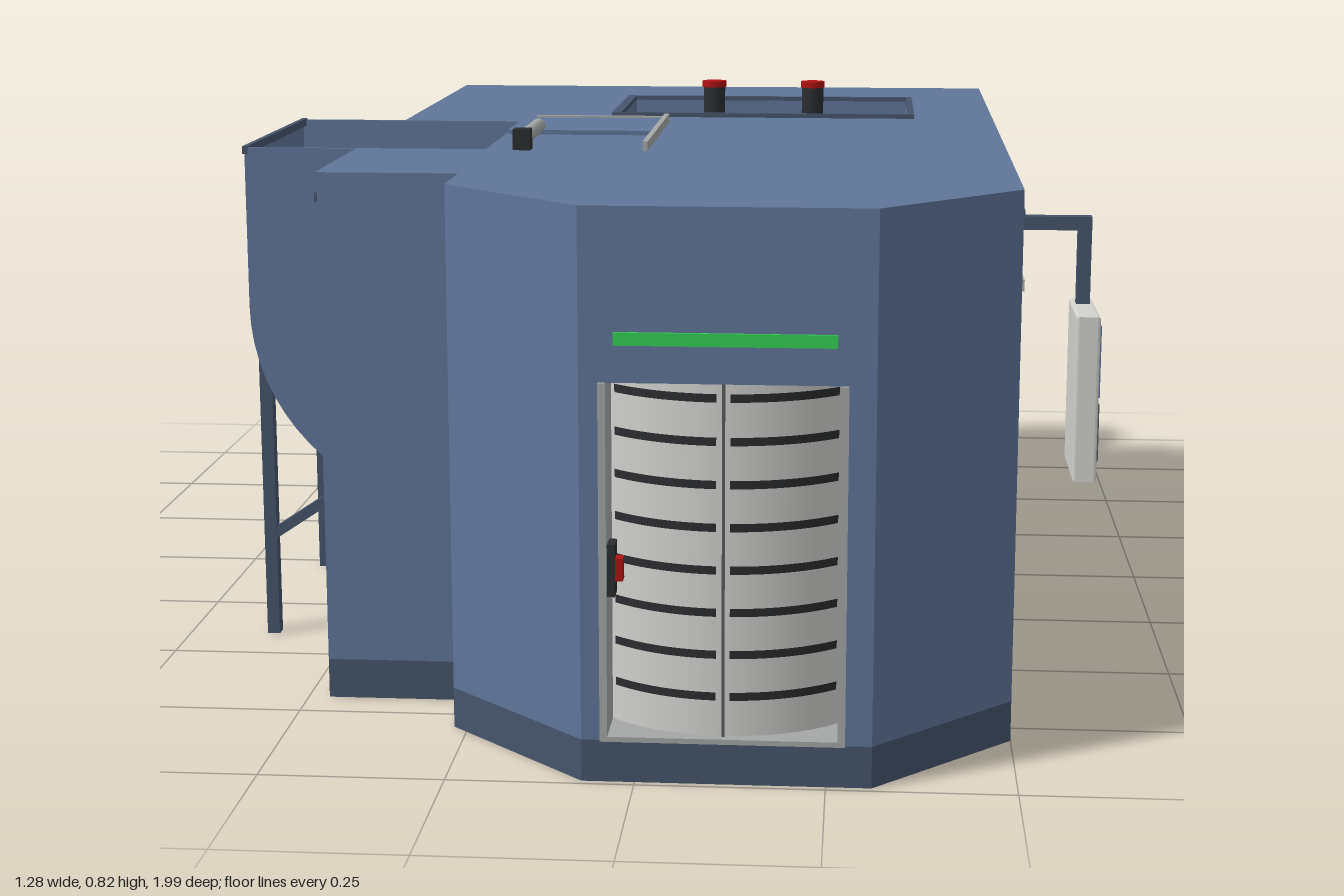
import * as THREE from 'three';

const mat = (name, color, side = THREE.FrontSide) => {
  const m = new THREE.MeshStandardMaterial({ color, side });
  m.name = name;
  return m;
};

export function createModel() {
  const root = new THREE.Group();
  root.name = 'machiningCentre';
  const blue = mat('steelBlue', 0x60769a, THREE.DoubleSide);
  const navy = mat('darkBlue', 0x46546c);
  const white = mat('offWhite', 0xd2d3cf);
  const silver = mat('silver', 0xa6a8a8);
  const door = mat('cabinetGrey', 0x90938f);
  const dark = mat('darkGrey', 0x595c5d);
  const black = mat('black', 0x2b2d30);
  const red = mat('red', 0xb01212);
  const green = mat('green', 0x35cf55);
  const yellow = mat('yellow', 0xd8a010);

  const add = (name, geo, m, x = 0, y = 0, z = 0, parent = root) => {
    const mesh = new THREE.Mesh(geo, m);
    mesh.name = name;
    mesh.position.set(x, y, z);
    parent.add(mesh);
    return mesh;
  };
  // Box given by its limits on each axis
  const box = (name, m, x0, x1, y0, y1, z0, z1) =>
    add(name, new THREE.BoxGeometry(x1 - x0, y1 - y0, z1 - z0), m, (x0 + x1) / 2, (y0 + y1) / 2, (z0 + z1) / 2);
  // Round or square bar between two points
  const bar = (name, m, a, b, r, sides = 16) => {
    const p = new THREE.Vector3(...a), q = new THREE.Vector3(...b), d = q.clone().sub(p);
    const geo = new THREE.CylinderGeometry(r, r, d.length(), sides);
    if (sides === 4) geo.rotateY(Math.PI / 4);
    const mesh = add(name, sides === 4 ? geo.toNonIndexed() : geo, m);
    if (sides === 4) mesh.geometry.computeVertexNormals();
    mesh.position.copy(p).add(q).multiplyScalar(0.5);
    mesh.quaternion.setFromUnitVectors(new THREE.Vector3(0, 1, 0), d.normalize());
    return mesh;
  };
  const shapeOf = pts => new THREE.Shape(pts.map(p => new THREE.Vector2(...p)));
  const rect = (x0, x1, y0, y1) => shapeOf([[x0, y0], [x1, y0], [x1, y1], [x0, y1]]);
  const extrude = (shape, depth) => new THREE.ExtrudeGeometry(shape, { depth, bevelEnabled: false });
  // Horizontal slab from an (x, z) outline
  const slab = (name, m, pts, y0, y1, holes = []) => {
    const s = shapeOf(pts.map(([x, z]) => [x, -z]));
    s.holes.push(...holes);
    return add(name, extrude(s, y1 - y0).rotateX(-Math.PI / 2), m, 0, y0, 0);
  };

  // Enclosure: plinth, walls and roof
  const outline = [[-0.07, 0.99], [0.31, 0.99], [0.5, 0.8], [0.5, -0.62], [-0.47, -0.62], [-0.47, 0.69], [-0.27, 0.69], [-0.27, 0.8]];
  slab('plinth', navy, outline, 0, 0.057);
  const H = 0.735;
  outline.forEach(([ax, az], i) => {
    const [bx, bz] = outline[(i + 1) % outline.length];
    const len = Math.hypot(bx - ax, bz - az);
    let s = rect(0, len, 0.057, H);
    if (i === 0) s.holes.push(rect(0.025, 0.345, 0.06, 0.535));
    if (i === 4) s = shapeOf([[0, 0.057], [len, 0.057], [len, H], [1.03, H], [1.03, 0.255], [0.63, 0.255], [0.63, H], [0, H]]);
    const wall = add('wall', extrude(s, 0.02).translate(0, 0, -0.02), blue, ax, 0, az);
    wall.rotation.y = Math.atan2(az - bz, bx - ax);
    if (i === 2 || i === 3) add('roofSeam', new THREE.BoxGeometry(len, 0.014, 0.004), navy, len / 2, 0.727, 0, wall);
    if (i === 4) {
      add('roofSeam', new THREE.BoxGeometry(0.63, 0.014, 0.004), navy, 0.315, 0.727, 0, wall);
      add('roofSeam', new THREE.BoxGeometry(0.28, 0.014, 0.004), navy, 1.17, 0.727, 0, wall);
    }
  });
  const roof = [...outline.slice(0, 5), [-0.47, 0.01], [-0.27, 0.01], [-0.27, 0.41], [-0.47, 0.41], ...outline.slice(5)];
  slab('roof', blue, roof, H, 0.762, [rect(-0.12, 0.36, 0.08, 0.36)]);

  // Curved front door in its recess
  const cx = 0.115, R = 0.22;
  const curved = (name, m, r, y0, y1, x0, x1) => {
    const a = Math.asin((x0 - cx) / r), b = Math.asin((x1 - cx) / r);
    add(name, new THREE.CylinderGeometry(r, r, y1 - y0, 20, 1, true, a, b - a), m, cx, (y0 + y1) / 2, 0.76);
  };
  curved('frontDoor', white, R, 0.06, 0.535, -0.04, 0.27);
  for (let i = 0; i < 8; i++) {
    const y = 0.112 + i * 0.0568;
    curved('doorSlot', black, R + 0.002, y, y + 0.011, -0.03, 0.106);
    curved('doorSlot', black, R + 0.002, y, y + 0.011, 0.124, 0.262);
  }
  curved('doorSeam', dark, R + 0.003, 0.06, 0.535, 0.1135, 0.1175);
  for (const x of [-0.045, 0.265]) box('doorJamb', silver, x, x + 0.01, 0.06, 0.535, 0.9, 0.995);
  box('doorLintel', navy, -0.045, 0.275, 0.535, 0.545, 0.88, 0.98);
  box('doorSill', silver, -0.045, 0.275, 0.056, 0.063, 0.9, 0.994);
  box('statusLight', green, -0.025, 0.26, 0.584, 0.601, 0.988, 0.994);
  box('stopButtonBox', black, -0.035, -0.025, 0.25, 0.32, 0.955, 0.985);
  box('stopButton', red, -0.026, -0.015, 0.27, 0.3, 0.96, 0.98);

  // Roof hatch and the work area below it
  const hatch = [[-0.135, 0.07], [0.37, 0.07], [0.37, 0.37], [-0.135, 0.37]].map(([x, z]) => [x, -z]);
  slab('hatchFrame', navy, hatch, 0.762, 0.769, [rect(-0.12, 0.36, 0.08, 0.36)]);
  box('workAreaFloor', navy, -0.125, 0.365, 0.48, 0.5, -0.365, -0.075);
  for (const x of [-0.13, 0.36]) box('workAreaSide', blue, x, x + 0.01, 0.5, H, -0.37, -0.07);
  for (const z of [-0.37, -0.08]) box('workAreaEnd', blue, -0.12, 0.36, 0.5, H, z, z + 0.01);
  box('machineBed', white, -0.05, 0.285, 0.5, 0.6, -0.355, -0.085);
  box('crossSlide', silver, -0.03, 0.27, 0.6, 0.62, -0.3, -0.27);
  box('carriage', white, -0.02, 0.26, 0.6, 0.64, -0.255, -0.19);
  for (const z of [-0.33, -0.21, -0.14]) bar('guideRail', silver, [-0.12, 0.57, z], [0.36, 0.57, z], 0.008);
  box('endStop', red, 0.34, 0.358, 0.62, 0.67, -0.235, -0.19);
  for (const x of [0.035, 0.2]) {
    box('spindleBase', white, x - 0.035, x + 0.035, 0.6, 0.69, -0.135, -0.085);
    bar('spindle', black, [x, 0.69, -0.108], [x, 0.81, -0.108], 0.018);
    bar('spindleCap', red, [x, 0.81, -0.108], [x, 0.82, -0.108], 0.02);
  }

  // Loading hopper with rounded underside
  const curve = [];
  for (let i = 0; i <= 16; i++) {
    const a = Math.PI + (i / 16) * 1.45;
    curve.push([-0.3 + 0.34 * Math.cos(a), 0.52 + 0.32 * Math.sin(a)]);
  }
  const side = [[-0.64, 0.762], ...curve, [-0.27, 0.2], [-0.27, 0.762]];
  for (const z of [0.01, 0.405]) add('hopperSide', extrude(shapeOf(side), 0.006), blue, 0, 0, z);
  const rows = [];
  const index = [];
  curve.forEach(([x, y], i) => {
    rows.push(x, y, 0.01, x, y, 0.411);
    if (i) index.push(2 * i - 2, 2 * i - 1, 2 * i, 2 * i, 2 * i - 1, 2 * i + 1);
  });
  const trough = new THREE.BufferGeometry();
  trough.setAttribute('position', new THREE.Float32BufferAttribute(rows, 3));
  trough.setIndex(index);
  trough.computeVertexNormals();
  add('hopperFloor', trough, blue);
  box('hopperInnerWall', blue, -0.275, -0.27, 0.2, 0.762, 0.01, 0.41);
  const outer = add('hopperOuterWall', new THREE.PlaneGeometry(0.4, 0.242), navy, -0.64, 0.641, 0.21);
  outer.material = blue;
  outer.rotation.y = -Math.PI / 2;
  box('hopperRim', navy, -0.643, -0.635, 0.752, 0.764, 0.008, 0.412);
  for (const z of [0.025, 0.395]) {
    box('hopperLeg', navy, -0.63, -0.611, 0, 0.47, z - 0.01, z + 0.01);
    bar('hopperBrace', navy, [-0.615, 0.16, z], [-0.465, 0.26, z], 0.011, 4);
  }
  box('hopperLatchBar', yellow, -0.6, -0.28, 0.5, 0.515, 0.072, 0.086);
  box('hopperLatch', yellow, -0.605, -0.59, 0.49, 0.53, 0.06, 0.13);
  bar('latchKnob', red, [-0.305, 0.5, 0.04], [-0.305, 0.55, 0.04], 0.015);
  box('latchBracket', yellow, -0.311, -0.299, 0.5, 0.515, 0.03, 0.08);

  // Sliding lid hardware on the roof
  box('lidPlate', blue, -0.27, -0.04, 0.762, 0.769, 0.01, 0.205);
  box('lidRail', silver, -0.04, -0.032, 0.762, 0.776, 0.01, 0.41);
  box('lidBackRail', silver, -0.25, -0.04, 0.762, 0.772, 0.008, 0.016);
  bar('lidCylinder', silver, [-0.22, 0.778, 0.22], [-0.22, 0.778, 0.4], 0.011);
  box('lidCylinderMount', black, -0.233, -0.207, 0.762, 0.793, 0.39, 0.415);

  // Operator window and service strip on the model's left side
  box('slideRail', silver, 0.5, 0.509, 0.61, 0.626, 0.05, 0.71);
  box('windowDoor', blue, 0.5, 0.512, 0.205, 0.615, 0.06, 0.385);
  box('windowFrame', white, 0.512, 0.52, 0.25, 0.57, 0.085, 0.36);
  box('windowBorder', silver, 0.519, 0.522, 0.265, 0.555, 0.1, 0.345);
  box('windowPane', white, 0.52, 0.524, 0.272, 0.548, 0.107, 0.338);
  for (const z of [-0.04, 0.04]) box('panelSeam', navy, 0.499, 0.502, 0.057, 0.72, z - 0.002, z + 0.002);
  for (let g = 0; g < 5; g++) for (let i = 0; i < 3; i++) {
    const y = 0.262 + g * 0.052 + i * 0.014;
    box('ventSlot', black, 0.5, 0.504, y, y + 0.009, -0.02, 0.028);
  }
  box('servicePlate', dark, 0.5, 0.505, 0.095, 0.205, -0.035, 0.035);

  // Control pendant on its arm
  bar('pendantArm', navy, [0.49, 0.665, 0.435], [0.622, 0.665, 0.435], 0.014, 4);
  bar('pendantPost', navy, [0.612, 0.675, 0.435], [0.612, 0.54, 0.435], 0.014, 4);
  const casing = rect(-0.072, 0.072, 0.307, 0.543);
  add('pendantCase', new THREE.ExtrudeGeometry(casing, { depth: 0.026, bevelSize: 0.003, bevelThickness: 0.004, bevelSegments: 2 })
    .rotateY(Math.PI / 2), white, 0.599, 0, 0.475);
  box('pendantScreen', blue, 0.628, 0.632, 0.425, 0.53, 0.418, 0.535);
  box('pendantKeys', dark, 0.628, 0.632, 0.33, 0.415, 0.418, 0.535);
  bar('pendantStop', red, [0.63, 0.353, 0.435], [0.638, 0.353, 0.435], 0.008);

  // Electrical cabinet on the model's right side
  for (let i = 0; i < 4; i++) {
    const z = -0.612 + i * 0.142;
    box('cabinetDoor', door, -0.478, -0.469, 0.06, 0.62, z, z + 0.137);
    box('cabinetHandle', black, -0.484, -0.477, 0.26, 0.32, z + 0.022, z + 0.034);
    add('warningSign', extrude(shapeOf([[-0.02, 0], [0.02, 0], [0, 0.035]]), 0.003).rotateY(-Math.PI / 2), yellow, -0.478, 0.47, z + 0.07);
  }
  for (let i = 0; i < 4; i++) box('cabinetVent', black, -0.475, -0.469, 0.64, 0.71, -0.3 + i * 0.065, -0.25 + i * 0.065);

  // Coolant tank and pumps at the back
  box('tankPlinth', navy, -0.205, 0.25, 0, 0.055, -0.83, -0.615);
  box('coolantTank', blue, -0.205, 0.25, 0.055, 0.168, -0.83, -0.615);
  box('tankLid', dark, -0.203, 0.248, 0.168, 0.173, -0.828, -0.62);
  for (const x of [-0.13, -0.04]) {
    bar('pump', white, [x, 0.17, -0.73], [x, 0.25, -0.73], 0.022);
    bar('pumpCap', dark, [x, 0.25, -0.73], [x, 0.272, -0.73], 0.021);
  }

  // Chip conveyor: extruded along x from a (z, y) profile
  const conveyor = (name, pts, x0, x1) =>
    add(name, extrude(shapeOf(pts.map(([z, y]) => [-z, y])), x1 - x0).rotateY(Math.PI / 2), blue, x0, 0, 0);
  conveyor('conveyorChute', [[-0.61, 0.17], [-0.64, 0.17], [-0.78, 0.335], [-0.79, 0.44], [-0.61, 0.26]], 0.275, 0.42);
  conveyor('conveyorHead', [[-0.75, 0.335], [-0.887, 0.335], [-0.887, 0.522], [-0.78, 0.522], [-0.75, 0.47]], 0.257, 0.443);
  box('conveyorFoot', blue, 0.275, 0.42, 0.055, 0.17, -0.66, -0.61);
  bar('conveyorMotor', dark, [0.44, 0.47, -0.833], [0.495, 0.47, -0.833], 0.022);
  for (const x of [0.285, 0.41]) box('conveyorPost', navy, x - 0.008, x + 0.008, 0, 0.34, -0.878, -0.862);

  // Chip cart with an open, tapered bin
  const bin = new THREE.CylinderGeometry(Math.SQRT1_2, 0.6, 0.145, 4, 1, true).rotateY(Math.PI / 4).toNonIndexed();
  bin.scale(0.185, 1, 0.245);
  bin.computeVertexNormals();
  dark.side = THREE.DoubleSide;
  add('chipBin', bin, dark, 0.351, 0.143, -0.87);
  box('chipBinFill', dark, 0.273, 0.43, 0.07, 0.18, -0.973, -0.767);
  box('cartDeck', white, 0.258, 0.445, 0.056, 0.069, -0.995, -0.748);
  for (const x of [0.28, 0.423]) for (const z of [-0.775, -0.97]) {
    bar('cartWheel', black, [x - 0.008, 0.018, z], [x + 0.008, 0.018, z], 0.018);
    box('wheelFork', silver, x - 0.01, x + 0.01, 0.034, 0.057, z - 0.008, z + 0.008);
  }
  return root;
}
